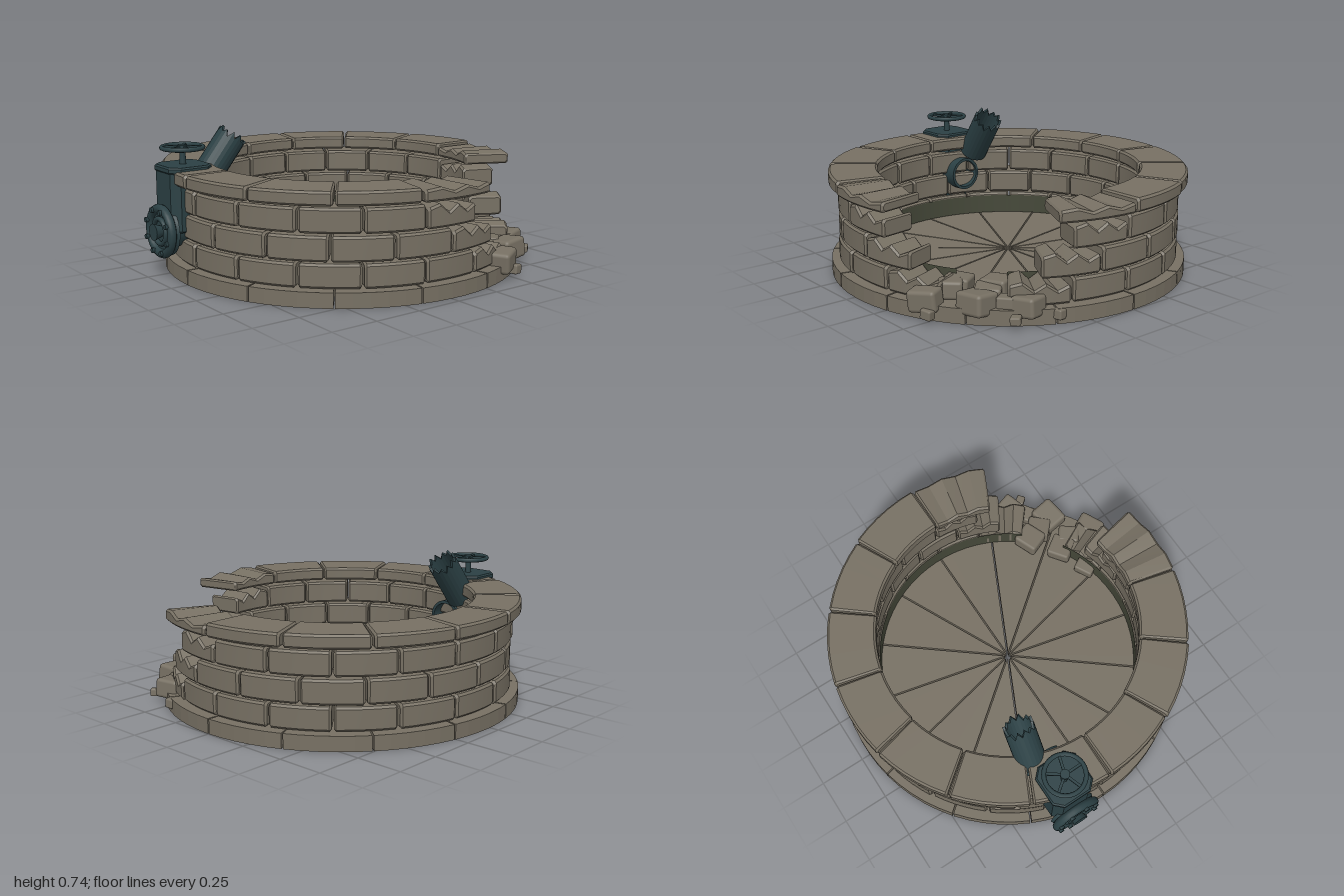
import * as THREE from 'three';
import { toCreasedNormals } from 'three/addons/utils/BufferGeometryUtils.js';
import { RoundedBoxGeometry } from 'three/addons/geometries/RoundedBoxGeometry.js';

const CX = 0.045; // ring centre in x
const DEG = Math.PI / 180;
const JAG = [0.85, 0.97, 0.6, 0.88, 0.55, 0.75]; // broken top, as parts of the height

export function createModel() {
  const model = new THREE.Group();
  model.name = 'ruinedWell';
  const stone = new THREE.MeshStandardMaterial({ color: 0x777063 });
  stone.name = 'stone';
  const damp = new THREE.MeshStandardMaterial({ color: 0x454839, side: THREE.DoubleSide });
  damp.name = 'dampStone';
  const iron = new THREE.MeshStandardMaterial({ color: 0x2b4044, side: THREE.DoubleSide });
  iron.name = 'darkIron';

  let seed = 7;
  const rnd = () => ((seed = (seed * 16807) % 2147483647) / 2147483647) - 0.5;

  function add(parent, name, geometry, material, x = 0, y = 0, z = 0) {
    const mesh = new THREE.Mesh(geometry, material);
    mesh.name = name;
    mesh.position.set(x, y, z);
    parent.add(mesh);
    return mesh;
  }
  function group(name) {
    const g = new THREE.Group();
    g.name = name;
    model.add(g);
    return g;
  }

  // Curved, chamfered block swept round the ring; angles run from +z towards +x
  function blockGeometry(a0, a1, r0, r1, y0, y1, broken) {
    const c = 0.011, gap = 0.005 / r1, steps = 5;
    const s = a0 * DEG + gap, e = a1 * DEG - gap;
    const sections = [[s, c * 0.8, 0]];
    for (let i = 0; i <= steps; i++) {
      sections.push([s + c / r1 + (e - s - 2 * c / r1) * i / steps, 0, i]);
    }
    sections.push([e, c * 0.8, steps]);
    const pos = [], idx = [];
    for (const [a, inset, i] of sections) {
      const top = (broken ? y0 + (y1 - y0) * JAG[i] : y1) - inset;
      const lo = y0 + inset, ri = r0 + inset, ro = r1 - inset;
      const profile = [[ri + c, lo], [ro - c, lo], [ro, lo + c], [ro, top - c],
        [ro - c, top], [ri + c, top], [ri, top - c], [ri, lo + c]];
      for (const [r, y] of profile) pos.push(CX + r * Math.sin(a), y, r * Math.cos(a));
    }
    const n = 8, last = (sections.length - 1) * n;
    for (let i = 0; i < last; i += n) {
      for (let j = 0; j < n; j++) {
        const k = (j + 1) % n;
        idx.push(i + j, i + n + j, i + n + k, i + j, i + n + k, i + k);
      }
    }
    for (let j = 1; j < n - 1; j++) idx.push(0, j, j + 1, last, last + j + 1, last + j);
    const g = new THREE.BufferGeometry();
    g.setAttribute('position', new THREE.Float32BufferAttribute(pos, 3));
    g.setIndex(idx);
    return toCreasedNormals(g, 0.35);
  }

  // Floor: fourteen wedges with narrow gaps
  const floor = group('floor');
  const step = 360 / 14;
  for (let i = 0; i < 14; i++) {
    const mid = (i * step) * DEG, half = step / 2 * DEG, g = 0.004;
    const shape = new THREE.Shape();
    const tip = g / Math.sin(half);
    shape.moveTo(tip * Math.sin(mid), -tip * Math.cos(mid));
    for (let k = 0; k <= 5; k++) {
      const a = mid + (half - g / 0.95) * (k / 2.5 - 1);
      shape.lineTo(0.952 * Math.sin(a), -0.952 * Math.cos(a));
    }
    const geo = new THREE.ExtrudeGeometry(shape, { depth: 0.077, bevelEnabled: false });
    geo.rotateX(-Math.PI / 2);
    add(floor, 'floorWedge', geo, stone, CX);
  }

  // Wall courses and coping, stepping down to the breach
  const courses = [
    { name: 'lowerCourse', n: 18, start: 50, r0: 0.72, r1: 0.907, y0: 0.08, y1: 0.2, gone: 1 },
    { name: 'middleCourse', n: 18, start: 60, r0: 0.72, r1: 0.907, y0: 0.208, y1: 0.332, gone: 2 },
    { name: 'upperCourse', n: 18, start: 70, r0: 0.72, r1: 0.907, y0: 0.343, y1: 0.466, gone: 3 },
    { name: 'coping', n: 14, start: 2.5 * step, r0: 0.7, r1: 0.955, y0: 0.485, y1: 0.556, gone: 2 },
  ];
  for (const c of courses) {
    const ring = group(c.name);
    const w = 360 / c.n, count = c.n - c.gone;
    for (let i = 0; i < count; i++) {
      const a = c.start + i * w, broken = i === 0 || i === count - 1;
      add(ring, broken ? 'brokenBlock' : 'block',
        blockGeometry(a, a + w, c.r0 + rnd() * 0.008, c.r1 + rnd() * 0.01, c.y0, c.y1, broken), stone);
    }
  }

  // Damp band along the inside foot of the wall
  add(model, 'dampBand', new THREE.CylinderGeometry(0.716, 0.716, 0.105, 64, 1, true, 50 * DEG, 340 * DEG),
    damp, CX, 0.133, 0);

  // Fallen stones: x, y, z, width, height, depth, turn
  const rubble = group('rubble');
  [[0.45, 0.095, 0.84, 0.15, 0.11, 0.11, 0.5], [0.64, 0.095, 0.68, 0.16, 0.11, 0.14, 0.15],
    [0.81, 0.09, 0.51, 0.13, 0.1, 0.13, 0.3], [0.57, 0.12, 0.5, 0.14, 0.09, 0.13, 0.4],
    [0.42, 0.12, 0.62, 0.13, 0.08, 0.13, 0.6], [0.46, 0.12, 0.7, 0.12, 0.09, 0.1, 0.9],
    [0.25, 0.11, 0.68, 0.11, 0.07, 0.1, 0.5], [0.84, 0.05, 0.61, 0.05, 0.04, 0.055, 0.7],
    [0.51, 0.045, 0.87, 0.06, 0.05, 0.05, 0.3], [0.73, 0.1, 0.57, 0.09, 0.06, 0.09, 0.6],
    [0.9, 0.05, 0.4, 0.06, 0.05, 0.05, 0.2], [0.6, 0.11, 0.58, 0.13, 0.08, 0.12, 0.8],
  ].forEach(([x, y, z, w, h, d, turn]) => {
    const m = add(rubble, 'fallenStone', new RoundedBoxGeometry(w, h, d, 2, Math.min(w, h, d) * 0.18), stone, x, y, z);
    m.rotation.set(rnd() * 0.2, turn, rnd() * 0.2);
  });

  // Valve housing: eight-sided body, top plate and stem
  const valve = group('valve');
  const VX = -0.8, VZ = -0.215;
  function plate(name, w, h, cut, y) {
    const s = new THREE.Shape(), b = w - cut;
    [[w, b], [b, w], [-b, w], [-w, b], [-w, -b], [-b, -w], [b, -w], [w, -b]]
      .forEach(([x, z], i) => (i ? s.lineTo(x, z) : s.moveTo(x, z)));
    const g = new THREE.ExtrudeGeometry(s, {
      depth: h - 0.016, bevelSize: 0.008, bevelThickness: 0.008, bevelSegments: 1, bevelOffset: -0.008,
    });
    g.rotateX(-Math.PI / 2);
    add(valve, name, g, iron, VX, y + 0.008, VZ);
  }
  plate('valveBody', 0.115, 0.33, 0.04, 0.24);
  plate('topPlate', 0.122, 0.035, 0.045, 0.54);
  const cyl = (name, r0, r1, len, x, y, z, alongX, sides = 24) => {
    const m = add(valve, name, new THREE.CylinderGeometry(r0, r1, len, sides), iron, x, y, z);
    if (alongX) m.rotation.z = Math.PI / 2;
    return m;
  };
  cyl('valveStem', 0.014, 0.018, 0.1, VX, 0.615, VZ, false, 12);
  cyl('lowerBody', 0.1, 0.1, 0.22, -0.8, 0.25, VZ, true);

  // Outer flange with a raised rim, hub and bolts
  cyl('flangeDisc', 0.115, 0.13, 0.04, -0.915, 0.24, VZ, true);
  for (const [r, t, x] of [[0.117, 0.024, -0.935], [0.065, 0.013, -0.943]]) {
    add(valve, 'flangeRim', new THREE.TorusGeometry(r, t, 10, 32), iron, x, 0.24, VZ).rotation.y = Math.PI / 2;
  }
  cyl('flangeHub', 0.045, 0.025, 0.05, -0.955, 0.24, VZ, true, 12);
  for (let i = 0; i < 8; i++) {
    const a = (i + 0.5) * Math.PI / 4;
    cyl('flangeBolt', 0.014, 0.014, 0.03, -0.955, 0.24 + 0.115 * Math.sin(a), VZ + 0.115 * Math.cos(a), true, 6);
  }

  // Hand wheel
  const wheel = group('handWheel');
  wheel.position.set(VX, 0.66, VZ);
  add(wheel, 'wheelRim', new THREE.TorusGeometry(0.105, 0.012, 8, 32), iron).rotation.x = Math.PI / 2;
  add(wheel, 'wheelHub', new THREE.CylinderGeometry(0.025, 0.025, 0.026, 12), iron);
  for (let i = 0; i < 5; i++) {
    const a = i * 72 * DEG + 0.3;
    const spoke = add(wheel, 'wheelSpoke', new THREE.BoxGeometry(0.1, 0.012, 0.014), iron,
      0.055 * Math.cos(a), 0, 0.055 * Math.sin(a));
    spoke.rotation.y = -a;
  }

  // Pipe stub opening inside the wall
  const ringProfile = (ri, ro, len) => [[ri, 0], [ro, 0], [ro, len], [ri, len], [ri, 0]]
    .map(([x, y]) => new THREE.Vector2(x, y));
  const stub = add(model, 'pipeStub',
    toCreasedNormals(new THREE.LatheGeometry(ringProfile(0.078, 0.094, 0.14), 28), 0.6), iron, -0.6, 0.34, -0.205);
  stub.rotation.z = Math.PI / 2;

  // Broken pipe with a jagged mouth, leaning inwards
  const pipeGeo = toCreasedNormals(new THREE.LatheGeometry(ringProfile(0.066, 0.08, 0.29), 24), 0.6);
  const p = pipeGeo.attributes.position;
  for (let i = 0; i < p.count; i++) {
    if (p.getY(i) < 0.2) continue;
    const k = Math.round(Math.atan2(p.getX(i), p.getZ(i)) / (Math.PI / 12)) + 24;
    p.setY(i, 0.29 - [0, 0.03, 0.012, 0.045, 0.005, 0.035][k % 6]);
  }
  pipeGeo.computeVertexNormals();
  const pipe = add(model, 'brokenPipe', pipeGeo, iron, -0.635, 0.465, -0.29);
  pipe.quaternion.setFromUnitVectors(new THREE.Vector3(0, 1, 0), new THREE.Vector3(0.6, 0.8, 0.06).normalize());

  return model;
}
